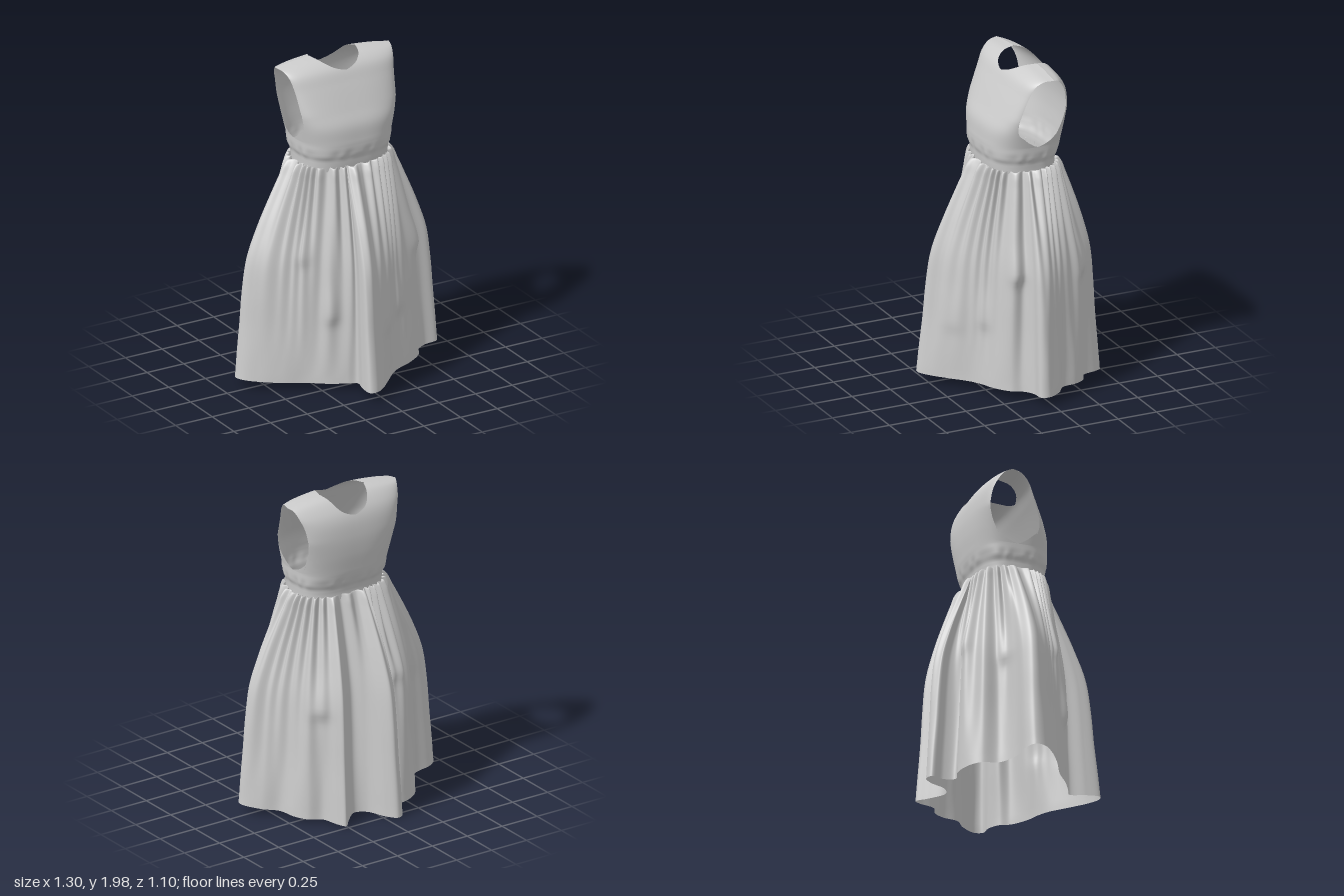
import * as THREE from 'three';

const CX = 0.033;  // bodice centre in x
const { lerp, degToRad, radToDeg, clamp } = THREE.MathUtils;
const material = new THREE.MeshStandardMaterial({ color: 0xcccccc, side: THREE.DoubleSide });
const curve = (points, closed = false) =>
  new THREE.CatmullRomCurve3(points.map(([x, y, z = 0]) => new THREE.Vector3(x, y, z)), closed);

// Closed loft: point(u, v) runs round the body with u (+x towards +z) and upwards with v
function loft(name, cols, rows, point) {
  const pos = [], index = [];
  for (let j = 0; j <= rows; j++) {
    for (let i = 0; i < cols; i++) {
      pos.push(...point(i / cols, j / rows));
      if (j === rows) continue;
      const a = j * cols + i, b = j * cols + (i + 1) % cols;
      index.push(a, a + cols, b, b, a + cols, b + cols);
    }
  }
  const geo = new THREE.BufferGeometry();
  geo.setAttribute('position', new THREE.Float32BufferAttribute(pos, 3));
  geo.setIndex(index);
  geo.computeVertexNormals();
  const mesh = new THREE.Mesh(geo, material);
  mesh.name = name;
  return mesh;
}

// Rounded-rectangular body section; mid is the z of the side seam
const power = (t, n) => Math.sign(t) * Math.abs(t) ** n;
function bodyRing(a, rx, front, back, mid = -0.05, zPower = 0.7) {
  const s = power(Math.sin(a), zPower);
  return [CX + rx * power(Math.cos(a), 0.7), mid + s * (s > 0 ? front - mid : mid - back)];
}

// Chest and back profiles (z, y) from under the arm to the shoulder line
const frontProfile = curve([
  [0.202, 1.53], [0.19, 1.63], [0.15, 1.72], [0.083, 1.86], [0.035, 1.945], [-0.03, 1.987], [-0.115, 2],
]);
const backProfile = curve([
  [-0.272, 1.53], [-0.285, 1.65], [-0.285, 1.76], [-0.268, 1.86], [-0.238, 1.92], [-0.18, 1.978], [-0.115, 2],
]);

// Upper edges on that surface as (angle from the side in degrees, share of the way to the shoulder line):
// armhole, shoulder line, neckline
const shoulder = [[20, 1], [75, 1]];
const frontEdge = [
  [[0, 0], [11, 0.1], [24, 0.26], [26, 0.42], [23, 0.62], [21, 0.82], shoulder[0]],
  shoulder,
  [shoulder[1], [77.5, 0.85], [83, 0.71], [90, 0.63]],
].map((p) => curve(p));
const backEdge = [
  [[0, 0], [14, 0.06], [27, 0.17], [32, 0.33], [32, 0.48], [27, 0.72], shoulder[0]],
  shoulder,
  [shoulder[1], [78, 0.8], [83, 0.65], [90, 0.55]],
].map((p) => curve(p));
const stops = [0, 32, 70, 90];

function upperBodice(a, t) {
  const c = Math.cos(a), s = Math.sin(a);
  const deg = radToDeg(Math.atan2(Math.abs(s), Math.abs(c)));
  const k = deg < stops[1] ? 0 : deg < stops[2] ? 1 : 2;
  const along = clamp((deg - stops[k]) / (stops[k + 1] - stops[k]), 0, 1);
  const edge = (s >= 0 ? frontEdge : backEdge)[k].getPoint(along);
  const angle = degToRad(clamp(lerp(deg, edge.x, t), 0, 90)), rise = clamp(edge.y * t, 0, 1);
  const f = frontProfile.getPoint(rise), b = backProfile.getPoint(rise);
  const full = Math.atan2(Math.sign(s) * Math.sin(angle), Math.sign(c) * Math.cos(angle));
  const zPower = lerp(0.7, 0.4, Math.min(1, 3 * rise));
  const [x, z] = bodyRing(full, 0.305 + 0.1 * rise, f.x, b.x, lerp(-0.05, -0.115, rise), zPower);
  const side = Math.cos(angle) ** 1.4;
  return [x, (s >= 0 ? f.y : b.y) - 0.035 * rise * side, z];
}

// Waistband and gathered lower bodice: y, half width, front z, back z
const rings = [
  [1.35, 0.28, 0.18, -0.235], [1.39, 0.282, 0.185, -0.235], [1.425, 0.285, 0.188, -0.24],
  [1.455, 0.297, 0.197, -0.254], [1.495, 0.303, 0.202, -0.265], [1.53, 0.305, 0.202, -0.272],
];

function createBodice() {
  const split = 0.3;
  return loft('bodice', 400, 50, (u, v) => {
    const a = u * Math.PI * 2;
    if (v > split) return upperBodice(a, (v - split) / (1 - split));
    const f = (v / split) * (rings.length - 1), k = Math.min(rings.length - 2, Math.floor(f));
    const [y, rx, front, back] = rings[k].map((n, i) => lerp(n, rings[k + 1][i], f - k));
    // small puckers above the waistband
    const d = 0.0025 * Math.exp(-(((y - 1.46) / 0.025) ** 2)) * Math.sin(a * 17 + 3 * Math.sin(a * 4));
    const [x, z] = bodyRing(a, rx + d, front + d, back - d);
    return [x, y, z];
  });
}

// Hem outline (x, z), from the left side round the front, right side and back
const hem = curve([
  [0.65, 0.03], [0.635, 0.075], [0.55, 0.08], [0.48, 0.12], [0.45, 0.18], [0.35, 0.25], [0.27, 0.28], [0.2, 0.32],
  [0.1, 0.42], [0.02, 0.5], [-0.05, 0.545], [-0.09, 0.535], [-0.09, 0.45], [-0.07, 0.35], [-0.12, 0.325],
  [-0.22, 0.27], [-0.33, 0.19], [-0.45, 0.13], [-0.56, 0.06], [-0.64, -0.02], [-0.65, -0.08], [-0.6, -0.12],
  [-0.48, -0.14], [-0.38, -0.21], [-0.36, -0.31], [-0.3, -0.37], [-0.2, -0.4], [-0.11, -0.38], [-0.09, -0.45],
  [-0.115, -0.53], [-0.07, -0.55], [-0.02, -0.5], [0.04, -0.39], [0.11, -0.36], [0.2, -0.43], [0.26, -0.49],
  [0.29, -0.45], [0.33, -0.35], [0.41, -0.31], [0.46, -0.24], [0.49, -0.14], [0.58, -0.07],
].map(([x, z]) => [x, 0, z]), true);

// Skirt profile from waist to hem: height, share of the flare, gather depth
const profile = curve([
  [1.35, 0, 0], [1.382, 0.05, 0.011], [1.35, 0.13, 0.017], [1.29, 0.21, 0.016], [1.2, 0.33, 0.015], [1, 0.58, 0.011],
  [0.8, 0.77, 0.007], [0.6, 0.85, 0.004], [0.4, 0.9, 0.002], [0.2, 0.96, 0], [0.04, 1, 0],
]);

// Sagging puffs in the cloth: angle, height, depth
const puffs = [
  [0.35, 0.78, 0.03], [0.9, 0.45, 0.02], [1.35, 0.4, 0.015], [2.1, 0.48, 0.025], [2.6, 0.85, 0.02],
  [3.6, 0.75, 0.02], [4.3, 0.85, 0.02], [5.4, 0.72, 0.025],
];
function puff(a, y) {
  return puffs.reduce((sum, [pa, py, depth]) => {
    const da = Math.atan2(Math.sin(a - pa), Math.cos(a - pa)) / 0.13;
    const dy = (y - py) / (y < py ? 0.05 : 0.17);
    return sum + depth * Math.exp(-da * da - dy * dy);
  }, 0);
}

function createSkirt() {
  return loft('skirt', 560, 70, (u, v) => {
    const h = hem.getPoint(u), p = profile.getPoint(1 - v);
    const a = Math.atan2(h.z / 0.54, h.x / 0.65);
    const [wx, wz] = bodyRing(a, 0.28, 0.18, -0.235);
    // fine gathers under the waist, broader folds further down
    const wave = a * 31 + 2.6 * Math.sin(a * 4 + 1) + 1.2 * Math.sin(a * 7);
    const gather = p.z * Math.sin(wave);
    const mid = Math.sin(Math.PI * clamp((1.33 - p.x) / 1.25, 0, 1));
    const fold = 0.012 * mid * Math.sin(a * 12 + 2 * Math.sin(a * 3) + 0.8 * p.x);
    const d = gather + fold + mid * puff(a, p.x);
    // the hem rises towards the front and sides
    const lift = (1 - v) ** 6 * (0.05 * h.z + 0.07 * h.x * h.x);
    const ruffle = 0.009 * Math.max(0, v - 0.85) / 0.15 * Math.sin(wave + a * 5);
    return [
      lerp(wx, h.x, p.y) + d * Math.cos(a),
      p.x + lift + ruffle,
      lerp(wz, h.z, p.y) + d * Math.sin(a),
    ];
  });
}

export function createModel() {
  const dress = new THREE.Group();
  dress.name = 'dress';
  dress.add(createBodice(), createSkirt());
  return dress;
}
